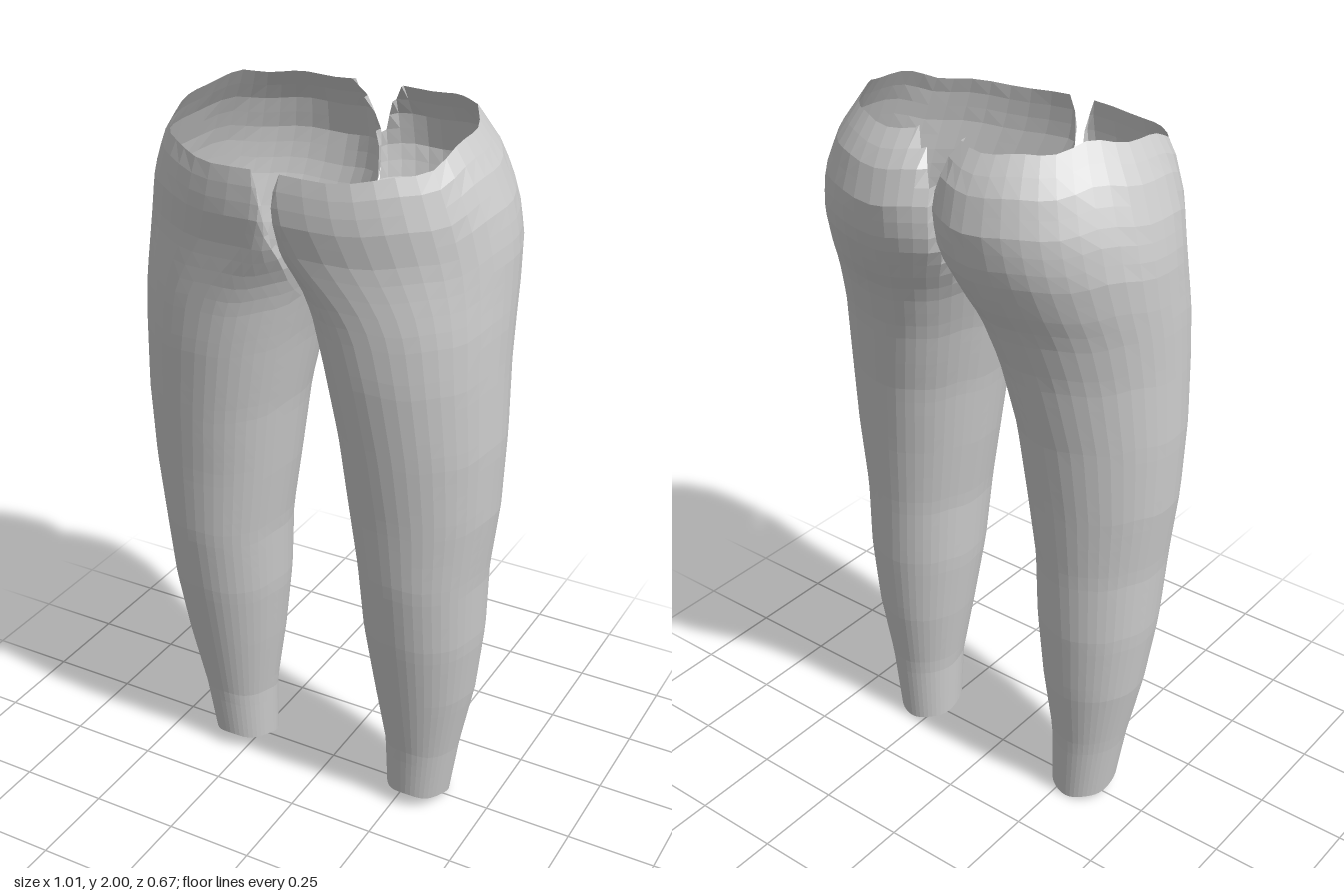
import * as THREE from 'three';

// Leg sections: y, inner x, outer x, back z, front z, x of back peak, x of front peak
const SECTIONS = [
  [0.00, 0.20, 0.375, -0.08, 0.105, 0.29, 0.29],
  [0.20, 0.195, 0.405, -0.088, 0.125, 0.30, 0.30],
  [0.40, 0.165, 0.445, -0.115, 0.165, 0.30, 0.30],
  [0.60, 0.14, 0.468, -0.13, 0.205, 0.30, 0.30],
  [0.80, 0.13, 0.475, -0.135, 0.235, 0.29, 0.30],
  [1.00, 0.10, 0.498, -0.15, 0.25, 0.28, 0.29],
  [1.20, 0.075, 0.505, -0.17, 0.27, 0.26, 0.27],
  [1.40, 0.035, 0.50, -0.205, 0.29, 0.22, 0.24],
  [1.53, 0.00, 0.498, -0.245, 0.297, 0.19, 0.21],
  [1.60, -0.03, 0.495, -0.28, 0.302, 0.17, 0.17],
  [1.70, -0.085, 0.49, -0.32, 0.315, 0.15, 0.08],
  [1.80, -0.09, 0.47, -0.335, 0.338, 0.14, 0.04],
  [1.90, -0.09, 0.43, -0.31, 0.335, 0.14, 0.03],
  [1.96, -0.09, 0.39, -0.27, 0.31, 0.14, 0.03],
  [2.00, -0.09, 0.365, -0.24, 0.29, 0.14, 0.03],
];
// Waist rim height from back (-1) to front (+1)
const RIM = [[-1, 1.975], [-0.75, 1.985], [-0.5, 1.998], [-0.2, 1.985], [0.1, 1.972], [0.35, 1.96], [0.6, 1.925], [1, 1.908]];

const SEGMENTS = 44;
const ROWS = 46;

// Linear lookup of all columns by the first one
function lookup(table, key) {
  let i = 0;
  while (i < table.length - 2 && key > table[i + 1][0]) i++;
  const a = table[i], b = table[i + 1];
  const f = THREE.MathUtils.clamp((key - a[0]) / (b[0] - a[0]), 0, 1);
  return a.map((v, k) => THREE.MathUtils.lerp(v, b[k], f));
}

// Point on the leg surface; "open" marks points lying beyond the centre seam
function legPoint(angle, v) {
  const s = Math.sin(angle), c = Math.cos(angle);
  const bottom = 0.025 + 0.022 * s + 0.003 * Math.sin(angle * 5);
  const top = Math.min(2, lookup(RIM, s)[1] + 0.004 * Math.sin(angle * 9));
  const y = THREE.MathUtils.lerp(bottom, top, v);
  const [, inner, outer, back, front, backX, frontX] = lookup(SECTIONS, y);
  const mid = THREE.MathUtils.lerp(backX, frontX, (1 + s) / 2);
  const round = Math.sign(c) * Math.pow(Math.abs(c), 0.93);
  const x = mid + (c > 0 ? outer - mid : mid - inner) * round;
  const z = (front + back) / 2 + ((front - back) / 2) * s;
  // The seam gap flares out towards the waist
  const gap = 0.003 + 0.045 * Math.pow(Math.max(0, (y - 1.8) / 0.15), 2)
    + (s > 0 ? 0.01 * THREE.MathUtils.smoothstep(y, 1.6, 1.75) : 0);
  const open = y > 1.53 && x < gap;
  return { x: Math.max(x, Math.min(gap, 0.08)), y, z, open };
}

function legGeometry(side) {
  const positions = [], open = [], index = [];
  for (let i = 0; i <= ROWS; i++) {
    for (let j = 0; j < SEGMENTS; j++) {
      const p = legPoint((j / SEGMENTS) * Math.PI * 2, i / ROWS);
      positions.push(side * p.x, p.y, p.z);
      open.push(p.open);
    }
  }
  const face = (a, b, c) => {
    if (open[a] && open[b] && open[c]) return;
    if (side > 0) index.push(a, b, c);
    else index.push(a, c, b);
  };
  for (let i = 0; i < ROWS; i++) {
    for (let j = 0; j < SEGMENTS; j++) {
      const k = (j + 1) % SEGMENTS;
      const a = i * SEGMENTS + j, b = i * SEGMENTS + k;
      face(a, a + SEGMENTS, b);
      face(b, a + SEGMENTS, b + SEGMENTS);
    }
  }
  return toGeometry(positions, index);
}

// Slightly sloping closure at the ankle
function ankleGeometry(side) {
  const positions = [side * 0.288, 0.025, 0.012], index = [];
  for (let j = 0; j < SEGMENTS; j++) {
    const p = legPoint((j / SEGMENTS) * Math.PI * 2, 0);
    positions.push(side * p.x, p.y, p.z);
    const a = j + 1, b = ((j + 1) % SEGMENTS) + 1;
    if (side > 0) index.push(0, a, b);
    else index.push(0, b, a);
  }
  return toGeometry(positions, index);
}

function toGeometry(positions, index) {
  const geometry = new THREE.BufferGeometry();
  geometry.setAttribute('position', new THREE.Float32BufferAttribute(positions, 3));
  geometry.setIndex(index);
  geometry.computeVertexNormals();
  return geometry;
}

export function createModel() {
  const model = new THREE.Group();
  model.name = 'trouserLegs';
  const material = new THREE.MeshStandardMaterial({ color: 0xcccccc, flatShading: true, side: THREE.DoubleSide });

  for (const [side, label] of [[1, 'left'], [-1, 'right']]) {
    const leg = new THREE.Mesh(legGeometry(side), material);
    leg.name = label + 'Leg';
    const ankle = new THREE.Mesh(ankleGeometry(side), material);
    ankle.name = label + 'AnkleEnd';
    model.add(leg, ankle);
  }
  return model;
}
